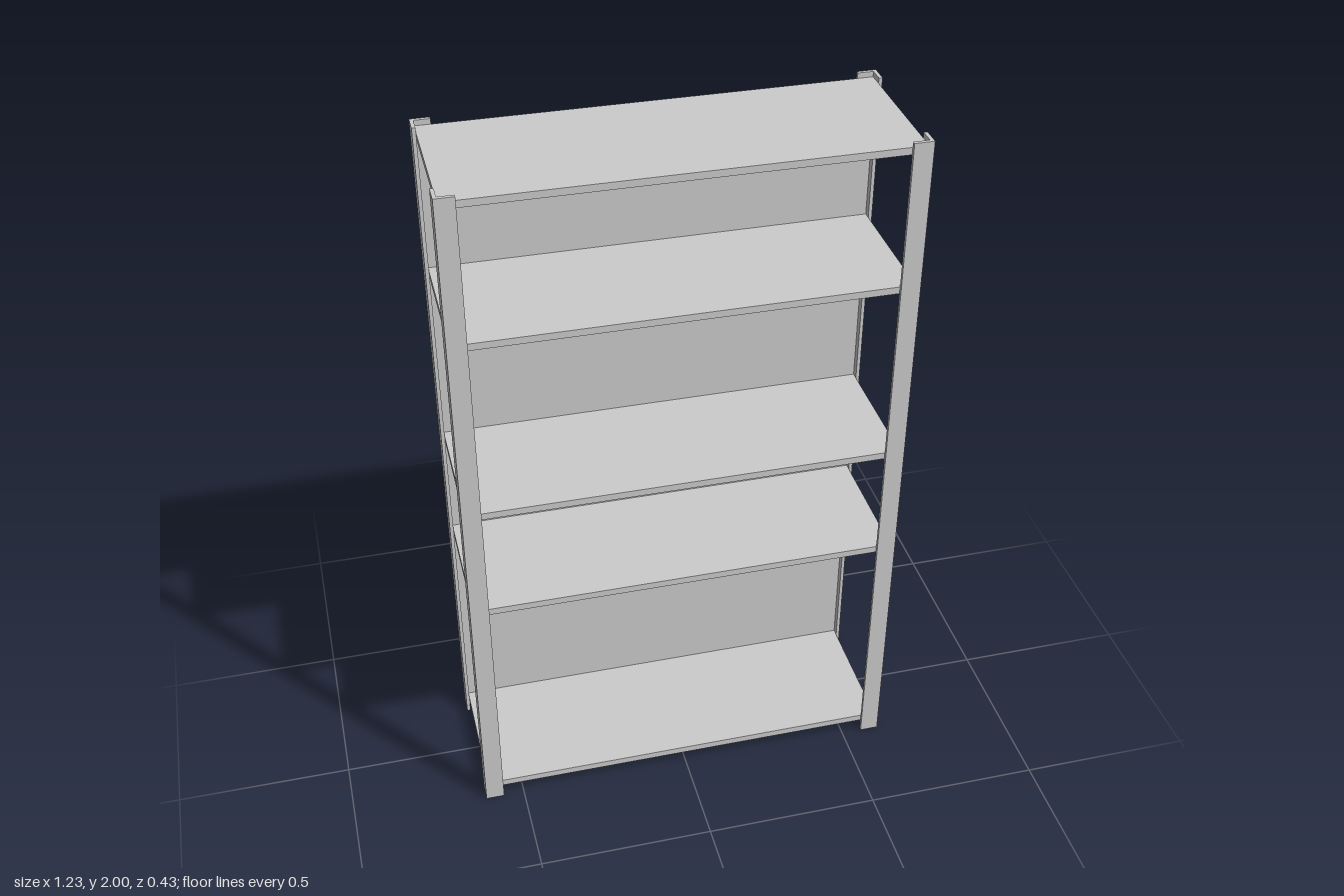
import * as THREE from 'three';

const HALF_W = 0.613, HALF_D = 0.216, HEIGHT = 2;
const FLANGE = 0.053, STEEL = 0.01;
const SHELF_T = 0.02, PANEL_T = 0.022;
const SHELF_BOTTOMS = [0.034, 0.709, 1.042, 1.571, 1.965];

export function createModel() {
  const group = new THREE.Group();
  const material = new THREE.MeshStandardMaterial({ color: 0xcccccc, flatShading: true });

  const add = (name, geometry) => {
    const mesh = new THREE.Mesh(geometry, material);
    mesh.name = name;
    group.add(mesh);
    return mesh;
  };

  // L-section corner post: outer corner at the origin, flanges along +x and +y
  const angle = new THREE.Shape([
    [0, 0], [FLANGE, 0], [FLANGE, STEEL], [STEEL, STEEL], [STEEL, FLANGE], [0, FLANGE],
  ].map(([x, y]) => new THREE.Vector2(x, y)));
  const postGeometry = new THREE.ExtrudeGeometry(angle, { depth: HEIGHT, bevelEnabled: false });
  postGeometry.rotateX(-Math.PI / 2); // stands up, flanges along +x and -z

  // Four posts; quarter turns swap the equal flanges, so each corner faces inwards
  const corners = [
    ['frontRightPost', -1, 1, 0],
    ['frontLeftPost', 1, 1, Math.PI / 2],
    ['backLeftPost', 1, -1, Math.PI],
    ['backRightPost', -1, -1, -Math.PI / 2],
  ];
  for (const [name, sx, sz, turn] of corners) {
    const post = add(name, postGeometry);
    post.position.set(sx * HALF_W, 0, sz * HALF_D);
    post.rotation.y = turn;
  }

  // Inner space between the post flanges
  const width = 2 * (HALF_W - STEEL), depth = 2 * (HALF_D - STEEL);

  // Shelves, ending at the back panel
  const shelfGeometry = new THREE.BoxGeometry(width, SHELF_T, depth - PANEL_T);
  SHELF_BOTTOMS.forEach((y, i) => {
    add(`shelf${i + 1}`, shelfGeometry).position.set(0, y + SHELF_T / 2, PANEL_T / 2);
  });

  // Back panel, from the lowest shelf's underside to the top shelf's surface
  const bottom = SHELF_BOTTOMS[0], top = SHELF_BOTTOMS.at(-1) + SHELF_T;
  add('backPanel', new THREE.BoxGeometry(width, top - bottom, PANEL_T))
    .position.set(0, (top + bottom) / 2, -depth / 2 + PANEL_T / 2);

  return group;
}
